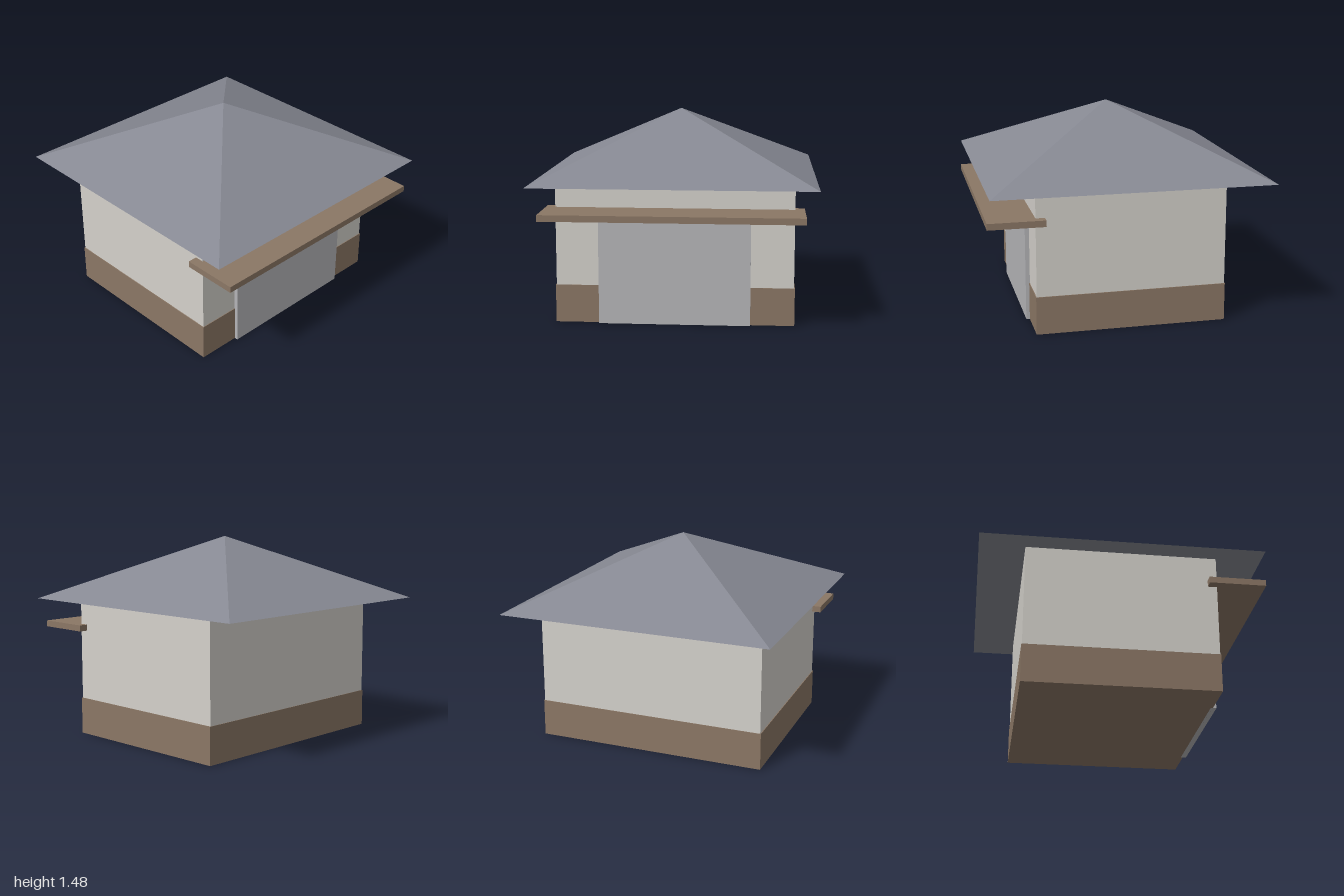
import * as THREE from 'three';

const material = (name, color) => {
  const m = new THREE.MeshStandardMaterial({ color });
  m.name = name;
  return m;
};

export function createModel() {
  const plaster = material('pale plaster', 0xd4d1cb);
  const brown = material('brown cladding', 0x8b7765);
  const slate = material('slate grey', 0x868892);
  const metal = material('door grey', 0xb5b5b8);

  const group = new THREE.Group();
  group.name = 'garage';

  // Box given by its half width and its y and z ranges
  const box = (name, mat, halfX, y0, y1, z0, z1) => {
    const mesh = new THREE.Mesh(new THREE.BoxGeometry(halfX * 2, y1 - y0, z1 - z0), mat);
    mesh.position.set(0, (y0 + y1) / 2, (z0 + z1) / 2);
    mesh.name = name;
    group.add(mesh);
  };

  box('walls', plaster, 0.839, 0.005, 1.01, -0.678, 0.665);
  box('plinth', brown, 0.845, 0, 0.27, -0.682, 0.67);
  box('garageDoor', metal, 0.535, 0, 0.737, 0.655, 0.695);
  box('doorCanopy', brown, 0.905, 0.785, 0.83, 0.6, 1.0);

  // Pyramid roof: a four-sided cone turned so its edges follow the walls
  const half = 0.993, roofBase = 1.008, roofTop = 1.475;
  const roofShape = new THREE.ConeGeometry(half * Math.SQRT2, roofTop - roofBase, 4)
    .rotateY(Math.PI / 4).toNonIndexed();
  roofShape.computeVertexNormals();
  const roof = new THREE.Mesh(roofShape, slate);
  roof.position.set(0, (roofBase + roofTop) / 2, -0.007);
  roof.name = 'roof';
  group.add(roof);

  return group;
}
